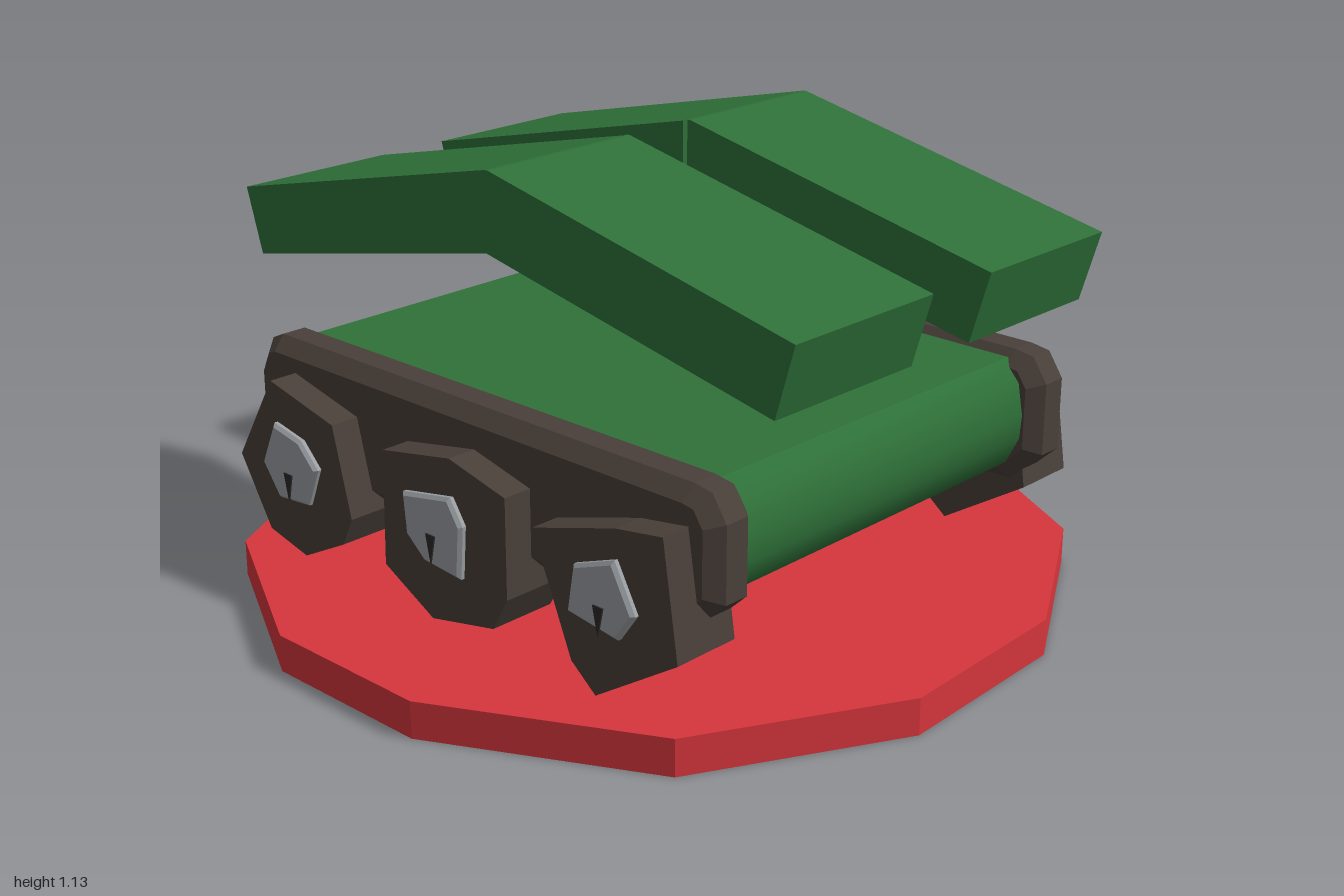
import * as THREE from 'three';
import { toCreasedNormals } from 'three/addons/utils/BufferGeometryUtils.js';

const mat = (name, color) => {
  const m = new THREE.MeshStandardMaterial({ color });
  m.name = name;
  return m;
};

export function createModel() {
  const red = mat('red', 0xd6363c);
  const green = mat('green', 0x2f7139);
  const brown = mat('dark brown', 0x4a403a);
  const grey = mat('steel grey', 0x9ca0a4);
  const yellow = mat('star yellow', 0xd2b22e);
  const dark = mat('slit dark', 0x2c2927);

  const group = new THREE.Group();
  group.name = 'tank';

  // Extrudes a [z, y] outline along x, from x0 to x1
  function profile(name, points, x0, x1, material, bevel = 0, crease = 0.1) {
    const shape = new THREE.Shape(points.map(([z, y]) => new THREE.Vector2(z, y)));
    let geo = new THREE.ExtrudeGeometry(shape, {
      depth: x1 - x0 - 2 * bevel, bevelEnabled: bevel > 0, bevelThickness: bevel,
      bevelSize: bevel, bevelOffset: -bevel, bevelSegments: 1,
    });
    geo.rotateY(-Math.PI / 2).translate(x1 - bevel, 0, 0);
    geo = toCreasedNormals(geo, crease);
    const mesh = new THREE.Mesh(geo, material);
    mesh.name = name;
    group.add(mesh);
    return mesh;
  }

  // Base: rough twelve-sided disc
  const rim = [[-0.25, -0.98], [0, -1], [0.29, -0.965], [0.72, -0.7], [0.98, -0.24], [1, 0],
    [0.96, 0.3], [0.72, 0.72], [0.26, 0.98], [-0.24, 1], [-0.73, 0.74], [-1, 0.22],
    [-1, -0.23], [-0.74, -0.71]];
  const disc = new THREE.ExtrudeGeometry(
    new THREE.Shape(rim.map(([x, z]) => new THREE.Vector2(x, -z))),
    { depth: 0.09, bevelEnabled: false }).rotateX(-Math.PI / 2);
  const base = new THREE.Mesh(disc, red);
  base.name = 'base';
  group.add(base);

  // Hull with rounded nose and tail
  const nose = [[0.62, 0.285], [0.69, 0.33], [0.725, 0.4], [0.73, 0.46], [0.715, 0.54], [0.67, 0.59]];
  const tail = nose.map(([z, y]) => [-z, y]).reverse();
  profile('hull', [...nose, ...tail], -0.54, 0.52, green, 0, 0.6);

  // Chamfered track covers
  const cover = [[0.68, 0.275], [0.77, 0.36], [0.77, 0.54], [0.73, 0.6], [0.68, 0.608],
    [-0.68, 0.608], [-0.72, 0.59], [-0.755, 0.52], [-0.755, 0.37], [-0.68, 0.275]];
  profile('leftTrackCover', cover, 0.49, 0.625, brown, 0.035);
  profile('rightTrackCover', cover, -0.645, -0.51, brown, 0.035);

  // Rough-hewn wheels with hubcaps
  const wheels = [
    {
      name: 'front', c: [0.53, 0.33],
      tyre: [[0.72, 0.26], [0.68, 0.52], [0.55, 0.5], [0.31, 0.43], [0.42, 0.17], [0.49, 0.115]],
      hub: [[0.63, 0.33], [0.57, 0.44], [0.45, 0.395], [0.43, 0.28], [0.58, 0.26]],
    },
    {
      name: 'middle', c: [0, 0.33],
      tyre: [[0.18, 0.24], [0.18, 0.47], [0.03, 0.51], [-0.16, 0.47], [-0.165, 0.2], [-0.03, 0.12], [0.14, 0.16]],
      hub: [[0.1, 0.37], [0.06, 0.43], [-0.1, 0.4], [-0.09, 0.3], [-0.03, 0.25], [0.09, 0.24]],
    },
    {
      name: 'rear', c: [-0.515, 0.33],
      tyre: [[-0.325, 0.27], [-0.38, 0.48], [-0.6, 0.53], [-0.73, 0.32], [-0.63, 0.16], [-0.5, 0.13], [-0.36, 0.2]],
      hub: [[-0.41, 0.36], [-0.47, 0.42], [-0.57, 0.44], [-0.62, 0.33], [-0.56, 0.25], [-0.45, 0.26]],
    },
  ];
  for (const { name, c, tyre, hub } of wheels) {
    const slit = [[c[0] + 0.015, c[1] - 0.005], [c[0] - 0.015, c[1] - 0.005], [c[0], c[1] - 0.075]];
    profile(name + 'LeftWheel', tyre, 0.53, 0.703, brown);
    profile(name + 'LeftHubcap', hub, 0.695, 0.718, grey, 0.008);
    profile(name + 'LeftHubSlit', slit, 0.715, 0.722, dark);

    // Opposite side: same outlines, slightly larger and shifted
    const grow = name === 'middle' ? 1.2 : 1.04;
    const far = ([z, y]) => [(z - c[0]) * grow + c[0] + 0.01, (y - c[1]) * 1.06 + c[1] - 0.005];
    profile(name + 'RightWheel', tyre.map(far), -0.72, -0.545, brown);
    profile(name + 'RightHubcap', hub, -0.74, -0.715, grey, 0.008);
    profile(name + 'RightHubSlit', slit, -0.744, -0.737, dark);
  }

  // Badge: pentagon plate with a five-pointed star
  profile('badgePlate', [[-0.07, 0.635], [-0.24, 0.59], [-0.25, 0.45], [-0.1, 0.32], [0.06, 0.44]],
    0.724, 0.73, red);
  const star = [];
  for (let i = 0; i < 10; i++) {
    const r = i % 2 ? 0.045 : 0.108;
    const a = Math.PI / 2 + i * Math.PI / 5;
    star.push([-0.105 + r * Math.cos(a), 0.482 + r * Math.sin(a)]);
  }
  profile('badgeStar', star, 0.729, 0.734, yellow);

  // Four sloping roof slabs meeting at a ridge
  const frontSlab = [[0, 0.94], [0.84, 0.768], [0.89, 0.94], [0.01, 1.13], [0, 1.13]];
  const rearSlab = [[0, 0.94], [0, 1.13], [-0.875, 0.93], [-0.825, 0.768]];
  profile('frontLeftSlab', frontSlab, 0.1, 0.53, green);
  profile('rearLeftSlab', rearSlab, 0.085, 0.53, green);
  profile('frontRightSlab', frontSlab, -0.55, -0.105, green);
  profile('rearRightSlab', rearSlab, -0.55, -0.115, green);

  return group;
}
